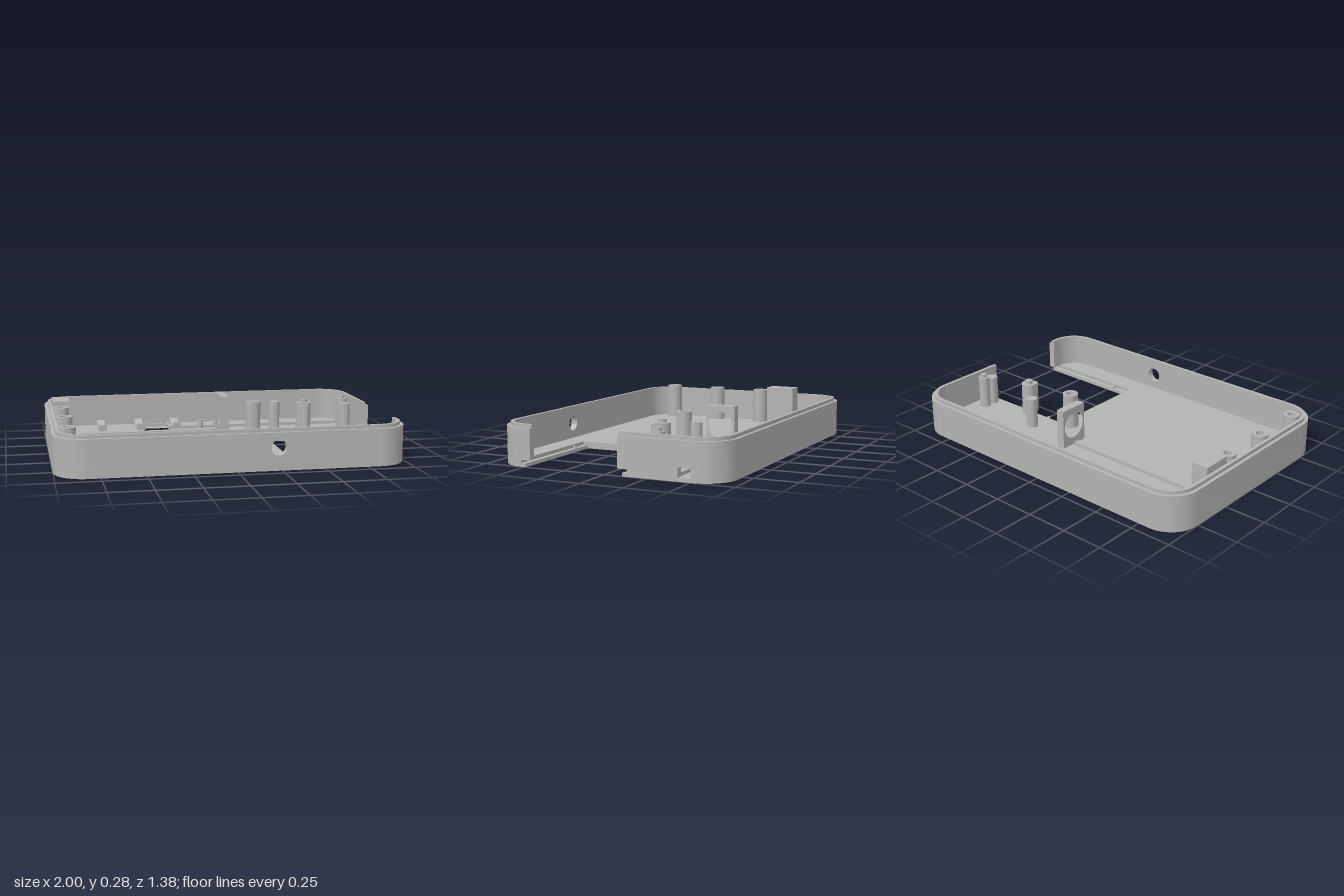
import * as THREE from 'three';
import { toCreasedNormals } from 'three/addons/utils/BufferGeometryUtils.js';

const HX = 1, HZ = 0.69, R = 0.18;      // half sizes and corner radius of the case
const FLOOR = 0.04, RIM = 0.215, LIP = 0.235;

export function createModel() {
  const group = new THREE.Group();
  const grey = new THREE.MeshStandardMaterial({ color: 0xb3b3b3 });
  grey.name = 'caseGrey';

  const add = (name, geo) => {
    const mesh = new THREE.Mesh(toCreasedNormals(geo, 0.6), grey);
    mesh.name = name;
    group.add(mesh);
    return mesh;
  };
  const shapeOf = (pts, holes = []) => {
    const s = new THREE.Shape(pts.map(([x, y]) => new THREE.Vector2(x, y)));
    holes.forEach(h => s.holes.push(new THREE.Path(h.map(([x, y]) => new THREE.Vector2(x, y)))));
    return s;
  };
  const extrude = (shape, depth) =>
    new THREE.ExtrudeGeometry(shape, { depth, bevelEnabled: false, steps: 1 });
  // Plan outline in (x, z), raised from y0 to y1
  const slab = (name, pts, y0, y1, holes = []) => {
    const flip = a => a.map(([x, z]) => [x, -z]);
    add(name, extrude(shapeOf(flip(pts), holes.map(flip)), y1 - y0)
      .rotateX(-Math.PI / 2).translate(0, y0, 0));
  };
  // Side outline in (z, y), extruded from x0 to x1
  const profile = (name, pts, x0, x1, holes = []) => {
    const flip = a => a.map(([z, y]) => [-z, y]);
    add(name, extrude(shapeOf(flip(pts), holes.map(flip)), x1 - x0)
      .rotateY(Math.PI / 2).translate(x0, 0, 0));
  };
  const arc = (cx, cy, r, a0, a1, n) => Array.from({ length: n + 1 }, (_, i) => {
    const a = a0 + (a1 - a0) * i / n;
    return [cx + r * Math.cos(a), cy + r * Math.sin(a)];
  });
  const circle = (cx, cy, r) => arc(cx, cy, r, 0, Math.PI * 2, 40).slice(0, -1);
  const rect = (x0, y0, x1, y1) => [[x0, y0], [x1, y0], [x1, y1], [x0, y1]];
  // Corner of the case at inset d: 0 front left, 1 front right, 2 back right, 3 back left
  const corner = (k, d) => arc((k === 0 || k === 3 ? 1 : -1) * (HX - R), (k < 2 ? 1 : -1) * (HZ - R),
    R - d, k * Math.PI / 2, (k + 1) * Math.PI / 2, 14);

  // Floor, lower layer: bay cut-out, shallow recess underneath joined to the small window
  const r = 0.06, q = Math.PI / 2;
  const recess = [
    ...arc(0.03 - r, 0.59 - r, r, 0, q, 6),
    ...arc(-0.8 + r, 0.59 - r, r, q, 2 * q, 6),
    ...arc(-0.8 + r, -0.51 + r, r, 2 * q, 3 * q, 6),
    [-0.38, -0.51], [-0.38, -0.57], [-0.205, -0.57], [-0.205, -0.51],
    ...arc(0.03 - r, -0.51 + r, r, 3 * q, 4 * q, 6),
  ];
  slab('floorBottom', [
    [1, -0.11], [0.33, -0.11], [0.33, 0.49], [1, 0.49],
    ...corner(0, 0), ...corner(1, 0), ...corner(2, 0), ...corner(3, 0),
  ], 0, 0.02, [recess]);

  // Floor, upper layer: wider bay slot, cable groove running to the port
  slab('floorTop', [
    [1, -0.14], [0.33, -0.14], [0.33, 0.52], [0.999, 0.52],
    ...corner(0, 0).slice(1), ...corner(1, 0), ...corner(2, 0), ...corner(3, 0).slice(0, -1),
    [1, -0.505], [0.96, -0.505], [0.96, -0.52], [-0.205, -0.52], [-0.205, -0.635],
    [-0.38, -0.635], [-0.38, -0.41], [-0.205, -0.41], [-0.205, -0.425],
    [0.96, -0.425], [0.96, -0.43], [1, -0.43],
  ], 0.02, FLOOR);

  // Walls: two curved runs and two flat panels with openings
  const run = (name, line, d0, d1, y0, y1) =>
    slab(name, [...line(d0), ...line(d1).reverse()], y0, y1);
  run('wallFrontCorner', d => [[HX - d, 0.46], ...corner(0, d), [0.36, HZ - d]], 0, 0.04, FLOOR, RIM);
  run('wallMain', d => [[0.1, HZ - d], ...corner(1, d), ...corner(2, d), ...corner(3, d)],
    0, 0.04, FLOOR, RIM);
  run('lip', d => [[HX - d, 0.46], ...[0, 1, 2, 3].flatMap(k => corner(k, d)), [HX - d, -0.08]],
    0.02, 0.04, RIM, LIP);
  add('frontPanel', extrude(shapeOf(rect(0.1, FLOOR, 0.36, RIM), [circle(0.23, 0.13, 0.045)]), 0.04)
    .translate(0, 0, HZ - 0.04));
  profile('portPanel', [
    [-0.51, FLOOR], [-0.505, FLOOR], [-0.505, 0.075], [-0.43, 0.075], [-0.43, FLOOR],
    [-0.08, FLOOR], [-0.08, RIM], [-0.51, RIM],
  ], HX - 0.04, HX);

  // Round posts, with a bore (inner radius) or a solid top
  const post = (name, x, z, rad, y0, y1, bore = 0) => {
    const pts = [[rad, y0], [rad, y1]];
    if (bore) pts.push([bore, y1], [bore, y1 - 0.12]);
    pts.push([0, pts[pts.length - 1][1]]);
    add(name, new THREE.LatheGeometry(pts.map(p => new THREE.Vector2(...p)), 32))
      .position.set(x, 0, z);
  };
  for (const z of [-0.13, 0.185, 0.51]) post('screwPost', -0.915, z, 0.047, FLOOR, 0.255, 0.025);
  post('screwPost', 0.265, -0.12, 0.046, FLOOR, 0.255, 0.025);
  post('pegPost', 0.595, -0.145, 0.046, FLOOR, LIP);
  post('pegPostSide', 0.595, -0.11, 0.03, FLOOR, 0.225);
  post('pegPostTip', 0.595, -0.145, 0.022, LIP, 0.255);
  post('pegPost', 0.88, -0.262, 0.034, FLOOR, LIP);
  post('pegPostTip', 0.88, -0.262, 0.018, LIP, 0.255);
  post('shortPost', 0.88, -0.195, 0.034, FLOOR, 0.215);
  post('shortPost', 0.44, -0.28, 0.034, FLOOR, 0.225);
  for (const [x, z] of [[0, -0.5], [0.175, -0.5], [0.09, -0.44]])
    post('locatingPin', x, z, 0.017, 0.02, 0.08);
  for (const z of [-0.122, 0.505]) post('bayPin', 0.455, z, 0.01, 0.02, 0.035);

  // Facing brackets with round sockets; the outer one is closed behind
  const block = rect(-0.38, FLOOR, -0.2, 0.278), socket = [circle(-0.29, 0.163, 0.078)];
  profile('innerBracket', block, 0.08, 0.13, socket);
  profile('outerBracket', block, -0.91, -0.86, socket);
  profile('outerBracketBack', block, -0.96, -0.91);

  // Concave cradles
  for (const x of [-0.64, -0.395, -0.16]) {
    profile('cradle', [[-0.43, FLOOR], [-0.43, 0.08],
      ...arc(-0.5225, 0.148, 0.103, -0.75, -Math.PI + 0.75, 14),
      [-0.615, 0.08], [-0.615, FLOOR]], x - 0.025, x + 0.025);
  }

  // Long rib on the floor
  slab('floorRib', rect(-0.79, -0.305, 0.065, -0.272), FLOOR, 0.06);

  return group;
}
